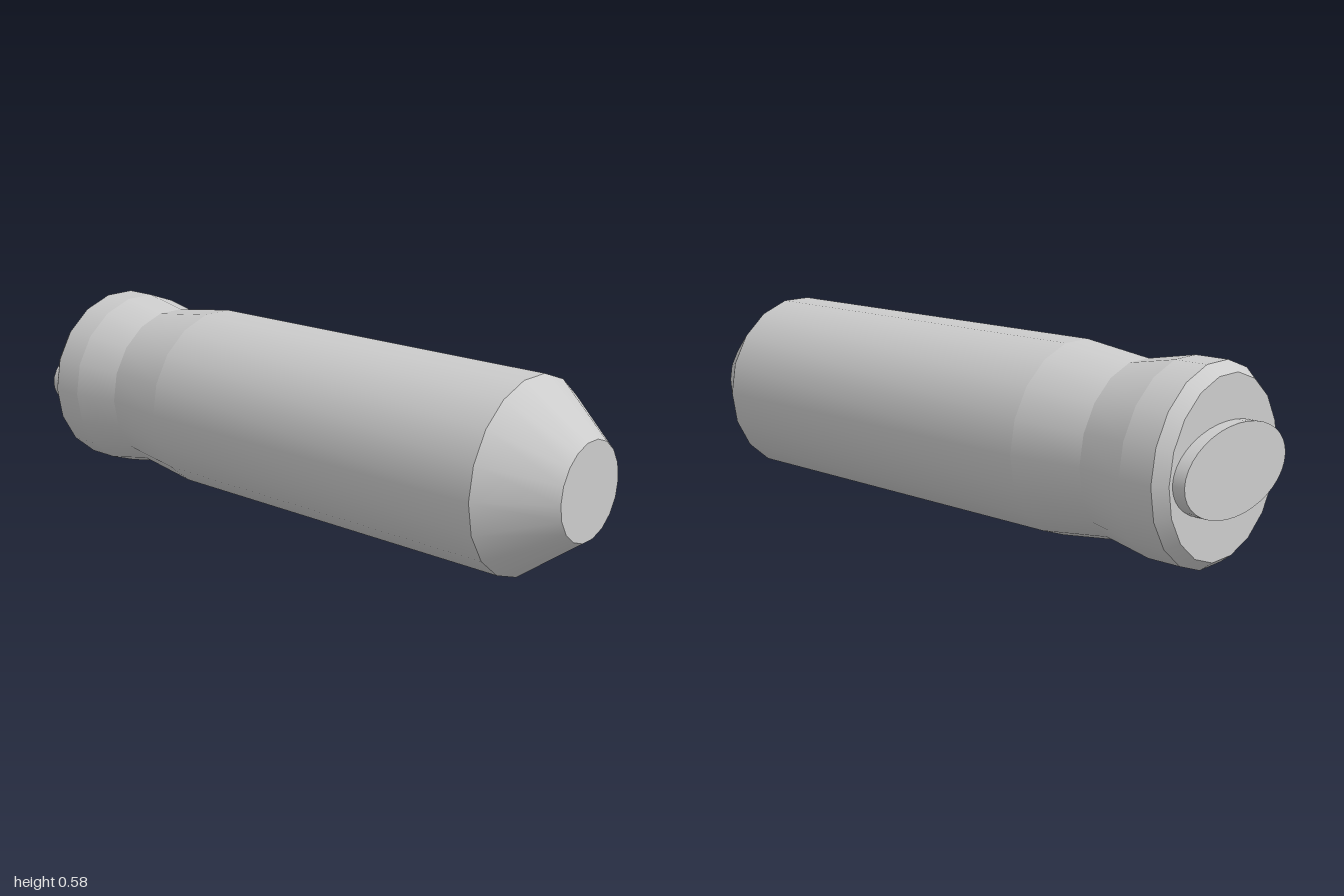
import * as THREE from 'three';

const SIDES = 18;
const AXIS_Y = 0.29;

export function createModel() {
  const model = new THREE.Group();
  const material = new THREE.MeshStandardMaterial({ color: 0xcccccc });

  function add(name, geometry, z) {
    const mesh = new THREE.Mesh(geometry, material);
    mesh.name = name;
    mesh.position.set(0, AXIS_Y, z);
    model.add(mesh);
  }

  // Bands of the body, front to back: [name, front z, front radius, back z, back radius]
  const bands = [
    ['noseCone', 1, 0.147, 0.805, 0.2945],
    ['barrel', 0.805, 0.2945, -0.44, 0.2945],
    ['grooveFront', -0.44, 0.2945, -0.665, 0.265],
    ['grooveBack', -0.665, 0.265, -0.82, 0.2945],
    ['rearCollar', -0.82, 0.2945, -0.925, 0.2945],
    ['rearChamfer', -0.925, 0.2945, -0.962, 0.265],
  ];
  for (const [name, z0, r0, z1, r1] of bands) {
    const band = new THREE.CylinderGeometry(r0, r1, z0 - z1, SIDES, 1, true, Math.PI / 2);
    add(name, band.rotateX(Math.PI / 2), (z0 + z1) / 2);
  }

  // Flat end faces
  add('noseFace', new THREE.CircleGeometry(0.147, SIDES), 1);
  add('rearFace', new THREE.CircleGeometry(0.265, SIDES).rotateY(Math.PI), -0.962);

  // Raised oval pad on the rear face
  const pad = new THREE.CylinderGeometry(1, 1, 0.045, 36).rotateX(Math.PI / 2);
  add('rearPad', pad.scale(0.25, 0.132, 1), -0.9775);

  return model;
}
